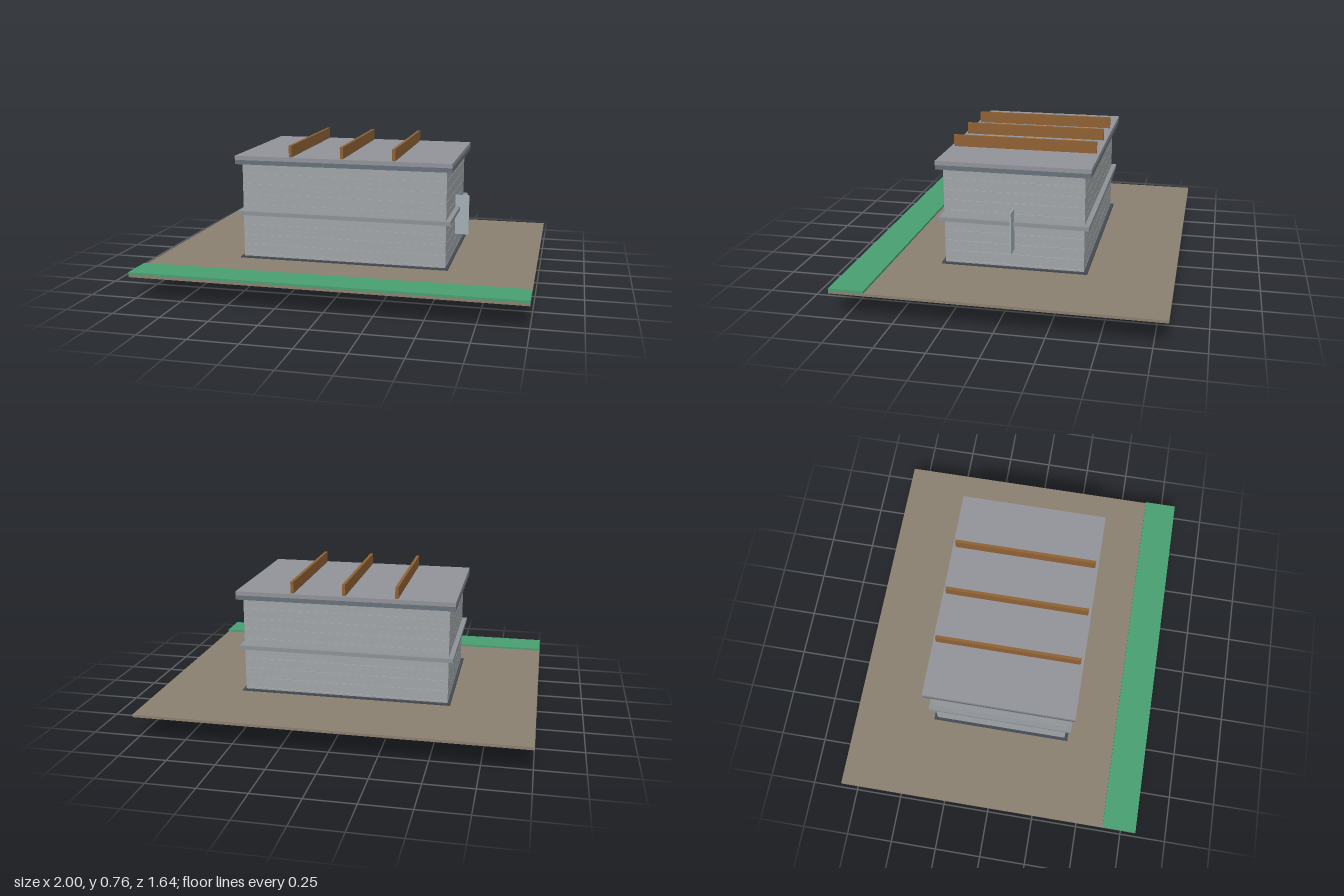
import * as THREE from 'three';

const mat = (color) => new THREE.MeshStandardMaterial({ color });

export function createModel() {
  const model = new THREE.Group();
  const mats = {
    timber: mat(0x987c28), ground: mat(0x8b8070), green: mat(0x4a9f72),
    wall: mat(0xa0a5a8), dark: mat(0x444b52), roof: mat(0x929399),
    eaves: mat(0x67717a), belt: mat(0x8d9297), fin: mat(0x8f6235), panel: mat(0xa2aeb4),
  };

  // Box given by its extents on each axis
  function box(name, material, [x0, x1], [y0, y1], [z0, z1], parent = model) {
    const mesh = new THREE.Mesh(new THREE.BoxGeometry(x1 - x0, y1 - y0, z1 - z0), mats[material]);
    mesh.position.set((x0 + x1) / 2, (y0 + y1) / 2, (z0 + z1) / 2);
    mesh.name = name;
    parent.add(mesh);
    return mesh;
  }
  const sym = (h) => [-h, h];

  // Foundation ring: crossing beams whose ends overhang at the corners
  const foundation = new THREE.Group();
  foundation.name = 'foundation';
  model.add(foundation);
  for (const s of [-1, 1]) {
    box('longBeam', 'timber', sym(0.598), [0.001, 0.133], [s * 0.331 - 0.048, s * 0.331 + 0.048], foundation);
    box('crossBeam', 'timber', [s * 0.505 - 0.05, s * 0.505 + 0.05], [0.001, 0.133], sym(0.418), foundation);
    // Post feet set flush in the beam crossings
    for (const t of [-1, 1]) {
      box('postFoot', 'wall', [s * 0.505 - 0.04, s * 0.505 + 0.04], [0, 0.1],
        [t * 0.331 - 0.04, t * 0.331 + 0.04], foundation);
    }
  }

  // Ground slab with a planted strip along the front
  box('groundSlab', 'ground', sym(1), [0.132, 0.146], sym(0.818));
  box('greenStrip', 'green', sym(1), [0.146, 0.158], [0.638, 0.818]);

  // Plinth and walls: board courses separated by fine grooves
  box('plinth', 'dark', sym(0.56), [0.146, 0.154], sym(0.38));
  box('wallCore', 'wall', sym(0.541), [0.15, 0.66], sym(0.358));
  const walls = new THREE.Group();
  walls.name = 'wallCourses';
  model.add(walls);
  box('sillCourse', 'wall', sym(0.545), [0.154, 0.164], sym(0.362), walls);
  const pitch = 0.055;
  for (let i = 0; i < 9; i++) {
    const y = 0.165 + i * pitch;
    box('wallCourse', 'wall', sym(0.545), [y + 0.001, y + pitch - 0.001], sym(0.362), walls);
  }

  // Belt course around the middle
  box('beltCourse', 'belt', sym(0.57), [0.383, 0.404], sym(0.388));

  // Flat roof on a darker eaves board, with three upright fins
  box('eaves', 'eaves', sym(0.575), [0.658, 0.681], sym(0.395));
  box('roof', 'roof', sym(0.575), [0.681, 0.703], sym(0.395));
  for (const x of [-0.274, 0, 0.274]) {
    box('roofFin', 'fin', [x - 0.008, x + 0.008], [0.703, 0.764], sym(0.379));
  }

  // Thin panel projecting from the left wall
  box('sidePanel', 'panel', [0.54, 0.62], [0.25, 0.468], sym(0.003));

  return model;
}
